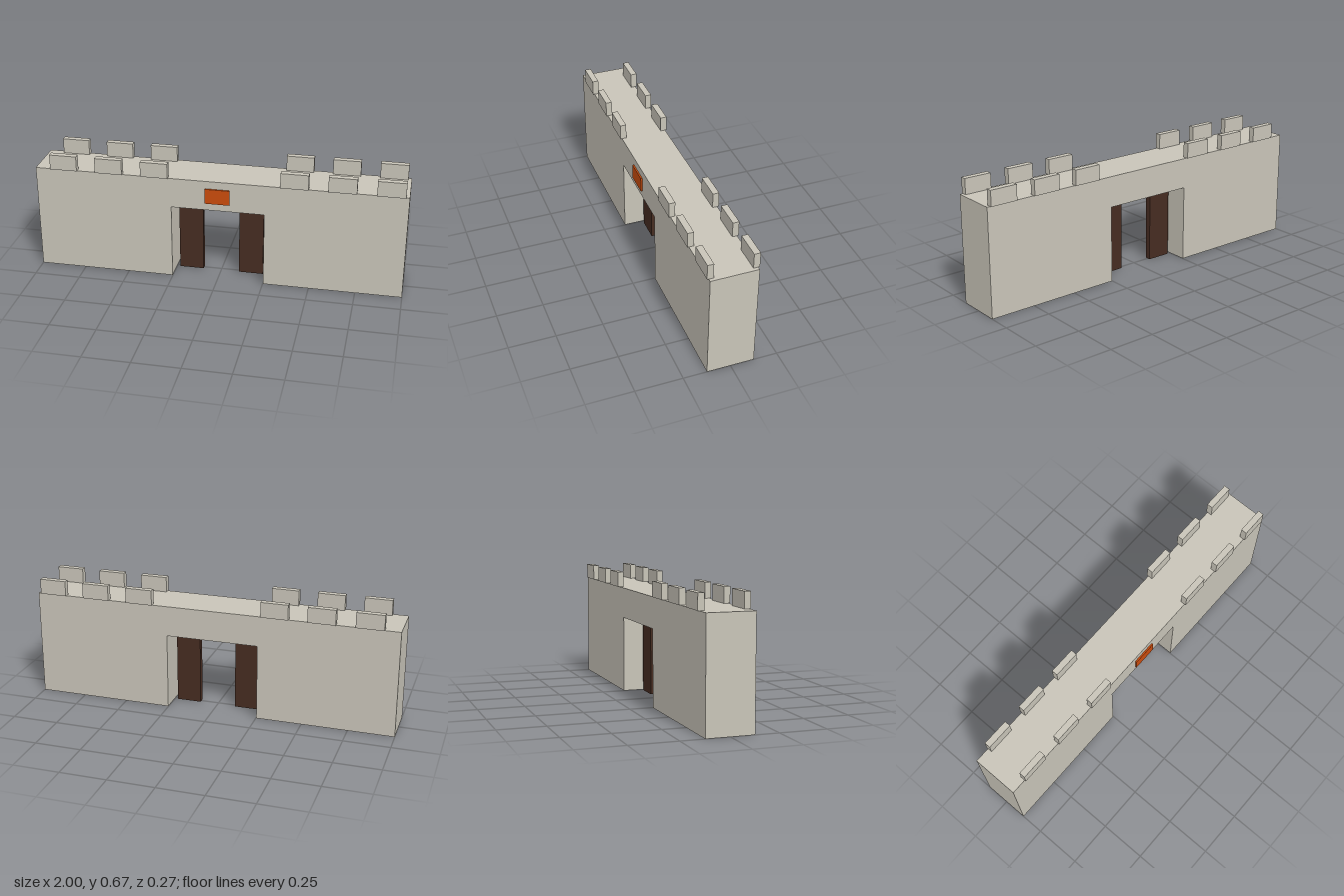
import * as THREE from 'three';

export function createModel() {
  const model = new THREE.Group();
  model.name = 'gatehouseWall';

  const material = (name, color) => {
    const m = new THREE.MeshStandardMaterial({ color });
    m.name = name;
    return m;
  };
  const stone = material('paleStone', 0xc8c4b8);
  const wood = material('darkWood', 0x462c21);
  const orange = material('burntOrange', 0xca4c0d);

  const addBox = (name, mat, size, position) => {
    const mesh = new THREE.Mesh(new THREE.BoxGeometry(...size), mat);
    mesh.name = name;
    mesh.position.set(...position);
    model.add(mesh);
  };

  // Wall with a rectangular gateway cut out of its base
  const depth = 0.25, wallTop = 0.5833, gateHalf = 0.252, gateTop = 0.4167;
  const outline = new THREE.Shape([
    [-1, 0], [-gateHalf, 0], [-gateHalf, gateTop], [gateHalf, gateTop],
    [gateHalf, 0], [1, 0], [1, wallTop], [-1, wallTop],
  ].map(([x, y]) => new THREE.Vector2(x, y)));
  const wallGeometry = new THREE.ExtrudeGeometry(outline, { depth, bevelEnabled: false });
  wallGeometry.translate(0, 0, -depth / 2);
  const wall = new THREE.Mesh(wallGeometry, stone);
  wall.name = 'wall';
  model.add(wall);

  // Battlements along both edges, leaving a gap above the gateway
  const merlonHeight = 0.0833;
  for (const x of [-0.842, -0.592, -0.342, 0.408, 0.658, 0.908]) {
    for (const side of [-1, 1]) {
      addBox(side > 0 ? 'frontMerlon' : 'backMerlon', stone,
        [0.148, merlonHeight, 0.0333], [x, wallTop + merlonHeight / 2, side * 0.1167]);
    }
  }

  // Pair of door leaves standing inside the gateway
  for (const side of [-1, 1]) {
    addBox(side > 0 ? 'leftDoor' : 'rightDoor', wood,
      [0.1333, 0.4, 0.0333], [side * 0.1667, 0.2, 0]);
  }

  // Plaque over the gateway
  addBox('plaque', orange, [0.1333, 0.0833, 0.0085], [0, 0.5, 0.1308]);

  return model;
}
